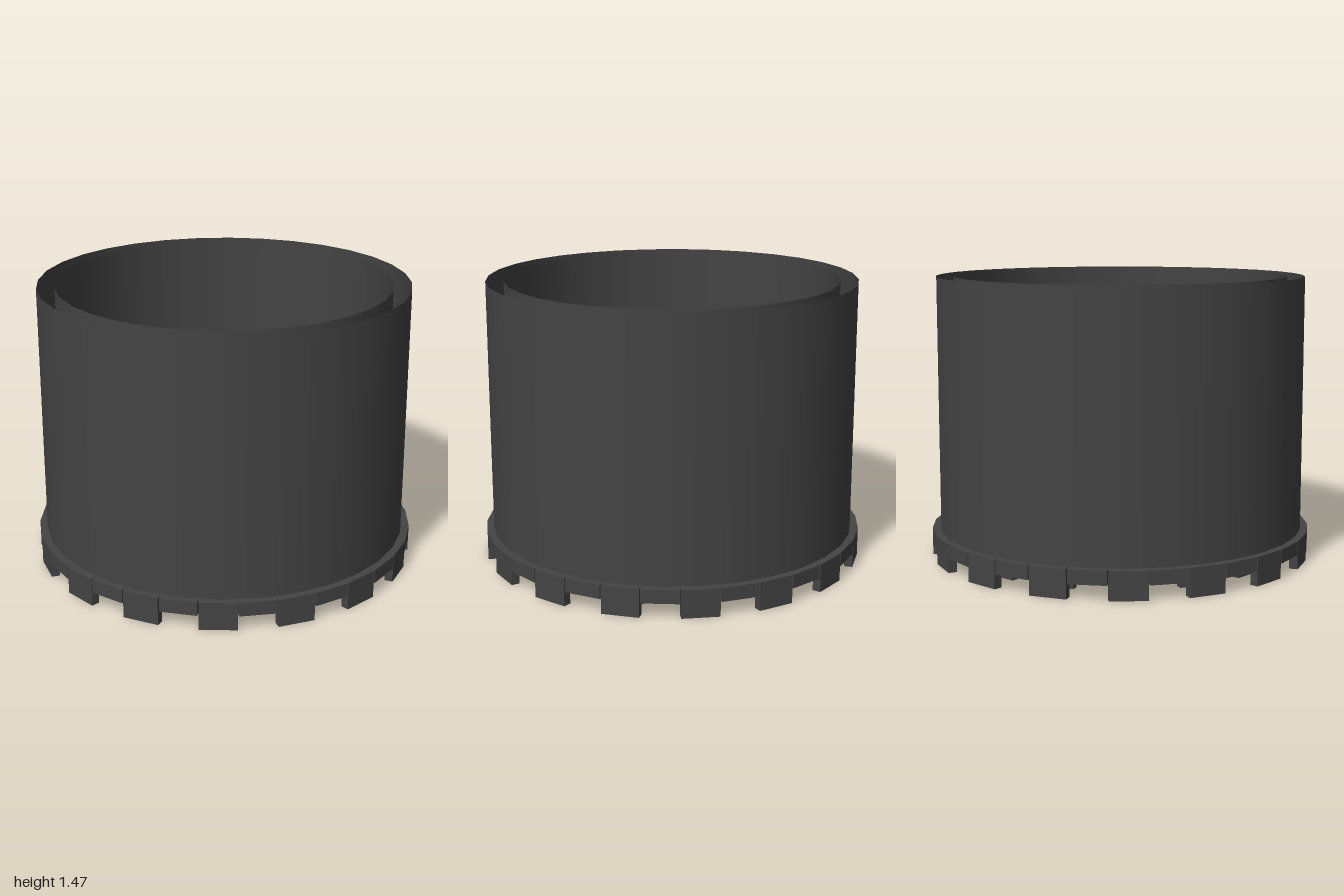
import * as THREE from 'three';

export function createModel() {
  const model = new THREE.Group();
  const darkGrey = new THREE.MeshStandardMaterial({ color: 0x444444, side: THREE.DoubleSide });
  darkGrey.name = 'darkGrey';
  const COUNT = 32;

  // open thin wall, without rim caps
  function addWall(name, radius, bottom, top) {
    const geometry = new THREE.CylinderGeometry(radius, radius, top - bottom, COUNT, 1, true);
    geometry.translate(0, (top + bottom) / 2, 0);
    const wall = new THREE.Mesh(geometry, darkGrey);
    wall.name = name;
    model.add(wall);
  }

  // ring of blocks, alternately long and short, flush at the top
  function addRing(name, inner, outer, width, top, longBottom, shortBottom) {
    const ring = new THREE.Group();
    ring.name = name;
    for (let i = 0; i < COUNT; i++) {
      const isLong = i % 2 === 0;
      const bottom = isLong ? longBottom : shortBottom;
      const geometry = new THREE.BoxGeometry(width, top - bottom, outer - inner);
      geometry.translate(0, (top + bottom) / 2, (inner + outer) / 2);
      const block = new THREE.Mesh(geometry, darkGrey);
      block.name = isLong ? 'longBlock' : 'shortBlock';
      block.rotation.y = (i / COUNT) * Math.PI * 2;
      ring.add(block);
    }
    model.add(ring);
  }

  addWall('outerWall', 0.962, 0.08, 1.472);
  addWall('innerWall', 0.869, 0.08, 1.472);
  addRing('outerBlockRing', 0.954, 0.998, 0.19, 0.147, 0, 0.075);
  addRing('innerBlockRing', 0.833, 0.871, 0.165, 0.143, 0.015, 0.08);

  return model;
}
